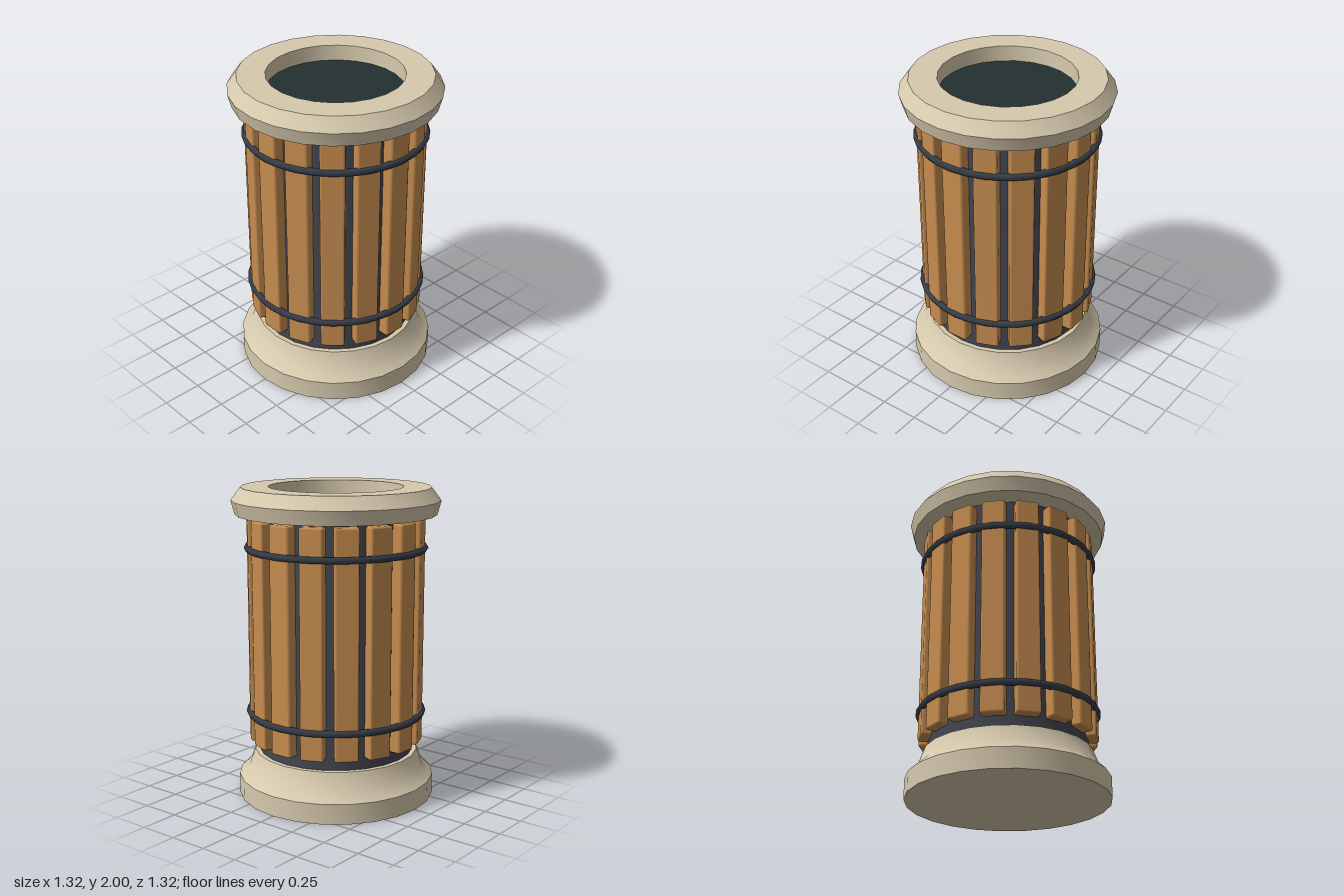
import * as THREE from 'three';
import { toCreasedNormals } from 'three/addons/utils/BufferGeometryUtils.js';
import { RoundedBoxGeometry } from 'three/addons/geometries/RoundedBoxGeometry.js';

const SIDES = 24;
const PLANKS = 16;

function material(name, color) {
  const m = new THREE.MeshStandardMaterial({ color });
  m.name = name;
  return m;
}

// Turned ring or block: smooth around, sharp along the profile.
function turned(profile) {
  const points = profile.map(([r, y]) => new THREE.Vector2(r, y));
  return toCreasedNormals(new THREE.LatheGeometry(points, SIDES), 0.6);
}

export function createModel() {
  const stone = material('stone', 0xd6c9ad);
  const wood = material('wood', 0xc68c4f);
  const core = material('core metal', 0x444751);
  const iron = material('band iron', 0x363c47);
  const dark = material('dark opening', 0x22302f);

  const model = new THREE.Group();
  model.name = 'trashBin';
  const add = (name, geometry, mat, parent = model) => {
    const mesh = new THREE.Mesh(geometry, mat);
    mesh.name = name;
    parent.add(mesh);
    return mesh;
  };

  // Stone foot
  add('base', turned([
    [0, 0], [0.635, 0], [0.635, 0.13], [0.57, 0.19], [0.53, 0.3], [0, 0.3],
  ]), stone);

  // Inner drum behind the planks
  const drum = new THREE.CylinderGeometry(0.5, 0.5, 1.56, SIDES, 1, true);
  add('drum', drum, core).position.y = 1.07;

  // Stone rim with an open mouth
  add('rim', turned([
    [0.42, 1.83], [0.635, 1.83], [0.66, 1.92], [0.6, 2],
    [0.425, 2], [0.425, 1.92], [0.42, 1.83],
  ]), stone);

  // Dark floor of the mouth
  const floor = new THREE.CircleGeometry(0.43, SIDES).rotateX(-Math.PI / 2);
  add('mouthFloor', floor, dark).position.y = 1.9;

  // Ring of vertical planks
  const planks = new THREE.Group();
  planks.name = 'planks';
  model.add(planks);
  const plankGeometry = new RoundedBoxGeometry(0.15, 1.44, 0.09, 1, 0.014);
  for (let i = 0; i < PLANKS; i++) {
    const angle = (i / PLANKS) * Math.PI * 2;
    const plank = add('plank', plankGeometry, wood, planks);
    plank.position.set(Math.sin(angle) * 0.515, 1.09, Math.cos(angle) * 0.515);
    plank.rotation.y = angle;
  }

  // Two iron hoops
  const hoop = new THREE.TorusGeometry(0.56, 0.023, 6, 32).rotateX(Math.PI / 2);
  add('lowerBand', hoop, iron).position.y = 0.555;
  add('upperBand', hoop, iron).position.y = 1.62;

  return model;
}
